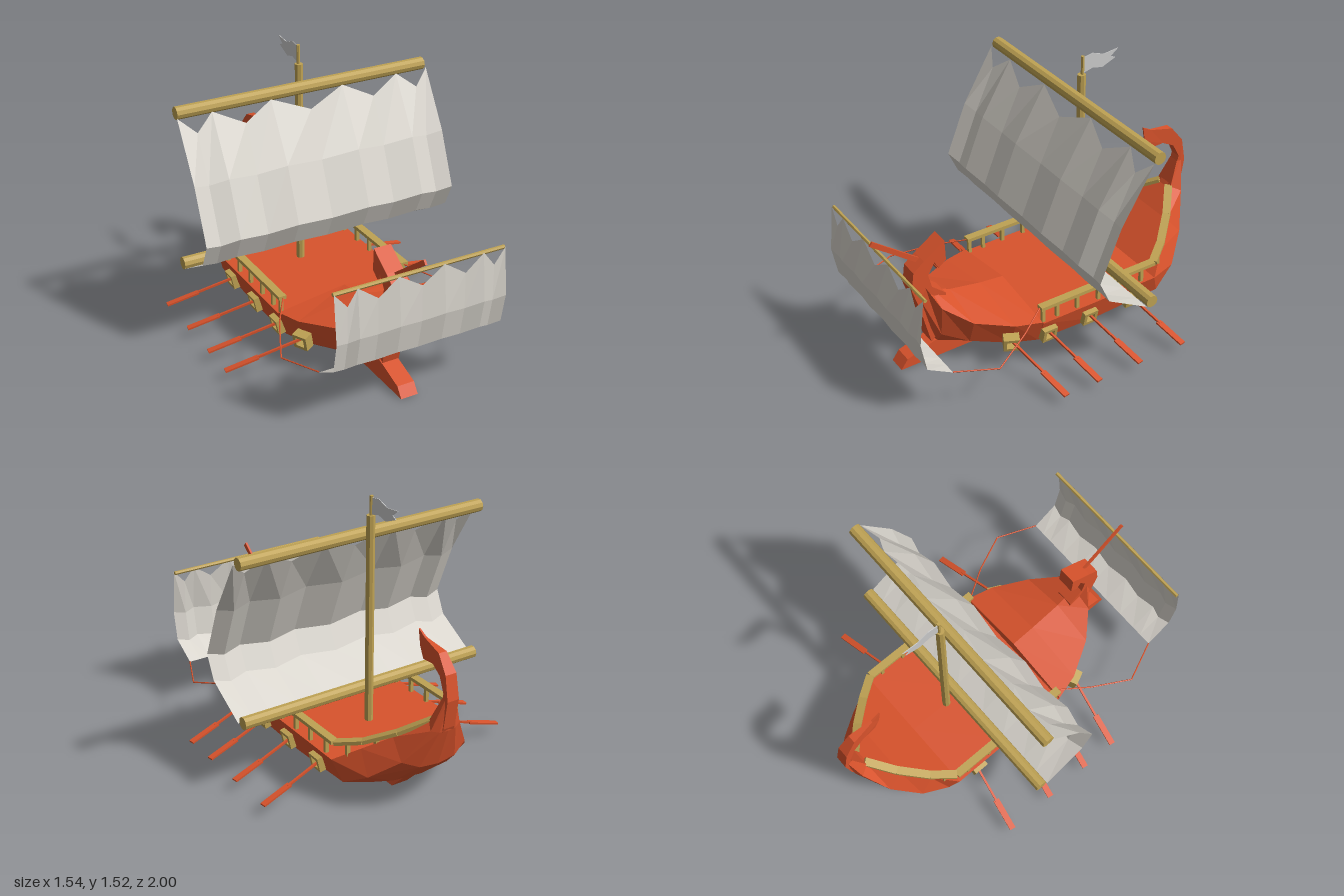
import * as THREE from 'three';

const mat = (color) => new THREE.MeshStandardMaterial({ color, flatShading: true, side: THREE.DoubleSide });
const V = (x, y, z) => new THREE.Vector3(x, y, z);

export function createModel() {
  const model = new THREE.Group();
  const red = mat(0xd9532c), wood = mat(0xbfa253), cloth = mat(0xd8d4cc), grey = mat(0xcccccc);

  const add = (name, geometry, material, parent = model) => {
    const m = new THREE.Mesh(geometry, material);
    m.name = name;
    parent.add(m);
    return m;
  };
  // Box beam from a to b
  const bar = (name, a, b, w, h, material, parent = model) => {
    const m = add(name, new THREE.BoxGeometry(w, h, a.distanceTo(b)), material, parent);
    m.position.copy(a).lerp(b, 0.5);
    m.lookAt(b);
  };
  // Round pole from a to b
  const pole = (name, a, b, r, sides, material, parent = model) => {
    const m = add(name, new THREE.CylinderGeometry(r, r, a.distanceTo(b), sides), material, parent);
    m.position.copy(a).lerp(b, 0.5);
    m.quaternion.setFromUnitVectors(V(0, 1, 0), b.clone().sub(a).normalize());
  };
  // Side outline of [z, y] points, extruded across the ship
  const sideExtrude = (points, width) => {
    const shape = new THREE.Shape(points.map(([z, y]) => new THREE.Vector2(z, y)));
    return new THREE.ExtrudeGeometry(shape, { depth: width, bevelEnabled: false })
      .rotateY(-Math.PI / 2).translate(width / 2, 0, 0);
  };
  // Surface through rows of points
  const loft = (rows) => {
    const n = rows[0].length, index = [];
    for (let r = 0; r < rows.length - 1; r++) {
      for (let c = 0; c < n - 1; c++) {
        const a = r * n + c, b = a + n;
        index.push(a, b, a + 1, b, b + 1, a + 1);
      }
    }
    const g = new THREE.BufferGeometry().setFromPoints(rows.flat());
    g.setIndex(index);
    const flat = g.toNonIndexed();
    flat.computeVertexNormals();
    return flat;
  };

  // Hull stations, stern to bow: rim x, y, z; wale x; keel y, z; height of deck centre above rim
  const stations = [
    [0.03, 0.68, -0.95, 0.03, 0.7, -0.995, 0],
    [0.06, 0.54, -0.89, 0.09, 0.5, -0.97, 0],
    [0.19, 0.43, -0.77, 0.2, 0.28, -0.9, 0],
    [0.3, 0.34, -0.65, 0.31, 0.15, -0.76, 0],
    [0.4, 0.25, -0.53, 0.36, 0.07, -0.6, 0],
    [0.4, 0.25, -0.15, 0.36, 0.04, -0.15, 0],
    [0.4, 0.25, 0.21, 0.35, 0.04, 0.21, 0],
    [0.4, 0.26, 0.215, 0.35, 0.04, 0.215, 0.06],
    [0.36, 0.27, 0.36, 0.3, 0.05, 0.36, 0.065],
    [0.25, 0.3, 0.55, 0.2, 0.08, 0.55, 0.07],
    [0.13, 0.37, 0.67, 0.11, 0.1, 0.67, 0.06],
    [0.05, 0.48, 0.72, 0.05, 0.36, 0.76, 0],
  ];
  add('hull', loft(stations.map(([rx, ry, rz, wx, ky, kz, crown]) => {
    const rim = V(rx, ry, rz), keel = V(0, ky, kz), deck = V(0, ry + crown, rz);
    const wale = rim.clone().lerp(keel, 0.68).setX(wx);
    const bilge = rim.clone().lerp(keel, 0.94).setX(wx * 0.55);
    const side = [rim, wale, bilge];
    const mirrored = side.map((p) => V(-p.x, p.y, p.z)).reverse();
    return [deck, ...side, keel, ...mirrored, deck];
  })), red);

  // Keel with ram, and the hooked stem
  add('keel', sideExtrude([[-0.58, 0], [0.89, 0], [0.85, 0.055], [0.68, 0.11], [-0.69, 0.11]], 0.1), red);
  add('stem', sideExtrude([[0.7, 0.11], [0.76, 0.36], [0.8, 0.49], [0.785, 0.6], [0.72, 0.65], [0.595, 0.735],
    [0.59, 0.61], [0.635, 0.575], [0.66, 0.62], [0.7, 0.55], [0.68, 0.47], [0.6, 0.4], [0.6, 0.2]], 0.1), red);

  // Stern plume, thinning toward its tip
  const plume = sideExtrude([[-0.9, 0.34], [-0.975, 0.52], [-1, 0.68], [-0.975, 0.815], [-0.905, 0.905], [-0.77, 0.93],
    [-0.715, 0.96], [-0.73, 0.87], [-0.76, 0.81], [-0.85, 0.825], [-0.92, 0.79], [-0.96, 0.71], [-0.94, 0.62], [-0.88, 0.53]], 0.07);
  const pp = plume.attributes.position;
  for (let i = 0; i < pp.count; i++) {
    const t = THREE.MathUtils.clamp((-0.72 - pp.getZ(i)) / 0.27, 0.12, 1);
    if (pp.getY(i) > 0.6) pp.setX(i, pp.getX(i) * t);
  }
  add('sternPlume', plume, red);

  // Masts, yards and flag
  pole('mast', V(0, 0.2, -0.29), V(0, 1.42, -0.29), 0.023, 8, wood);
  pole('mastTop', V(0, 1.42, -0.295), V(0, 1.525, -0.295), 0.01, 6, wood);
  for (const y of [1.305, 0.43]) pole('yard', V(-0.745, y, -0.238), V(0.745, y, -0.238), 0.035, 10, wood);
  pole('frontYard', V(-0.49, 0.775, 0.955), V(0.49, 0.775, 0.955), 0.011, 6, wood);
  bar('bowsprit', V(0, 0.62, 0.71), V(0, 0.835, 0.99), 0.012, 0.028, red);
  add('flag', sideExtrude([[-0.3, 1.515], [-0.36, 1.525], [-0.43, 1.5], [-0.52, 1.51], [-0.475, 1.475],
    [-0.505, 1.46], [-0.42, 1.425], [-0.36, 1.44], [-0.3, 1.425]], 0.004), grey);

  // Billowing sails: every second column dips at the scalloped top and ripples below
  const sail = (name, halfXs, profile, dip, ripple) => {
    const xs = [...halfXs.slice(1).reverse().map((x) => -x), ...halfXs];
    const rows = profile.map(([z, y], r) => xs.map((x, i) => {
      const low = i % 2;
      if (r === 0) {
        const [z1, y1] = profile[1], t = low * dip;
        return V(x, y + (y1 - y) * t, z + (z1 - z) * t);
      }
      return r === profile.length - 1 ? V(x, y, z) : V(x, y - low * ripple, z - low * ripple);
    }));
    add(name, loft(rows), cloth);
  };
  sail('mainSail', [0, 0.215, 0.385, 0.555, 0.66, 0.75],
    [[-0.2, 1.29], [-0.015, 0.98], [0.105, 0.685], [0.045, 0.555], [-0.2, 0.415]], 0.26, 0.02);
  sail('frontSail', [0, 0.13, 0.25, 0.36, 0.42, 0.49],
    [[0.967, 0.78], [0.995, 0.515], [0.965, 0.35], [0.82, 0.265]], 0.3, 0.015);

  // Rails, ropes, ports and oars on both sides
  for (const s of [1, -1]) {
    const side = new THREE.Group();
    side.name = s > 0 ? 'leftSide' : 'rightSide';
    model.add(side);
    const S = (x, y, z) => V(s * x, y, z);

    const rail = [S(0.378, 0.345, 0.22), S(0.378, 0.345, -0.53), S(0.29, 0.38, -0.65), S(0.17, 0.455, -0.78), S(0.04, 0.54, -0.89)];
    for (let i = 0; i < rail.length - 1; i++) bar('rail', rail[i], rail[i + 1], 0.045, 0.02, wood, side);
    for (const z of [0.2, 0.11, -0.02, -0.16, -0.3, -0.45]) {
      bar('railPost', S(0.378, 0.24, z), S(0.378, 0.345, z), 0.02, 0.02, wood, side);
    }
    bar('railPost', S(0.34, 0.28, -0.59), S(0.34, 0.36, -0.59), 0.02, 0.02, wood, side);
    bar('railPost', S(0.24, 0.36, -0.7), S(0.24, 0.41, -0.7), 0.02, 0.02, wood, side);

    const rope = [S(0.37, 0.345, 0.21), S(0.48, 0.31, 0.38), S(0.585, 0.255, 0.6), S(0.49, 0.268, 0.82)];
    for (let i = 0; i < rope.length - 1; i++) pole('rope', rope[i], rope[i + 1], 0.004, 5, red, side);

    for (const [z, x, yaw] of [[0.38, 0.345, 0.45], [0.17, 0.38, 0], [-0.095, 0.38, 0], [-0.38, 0.38, 0]]) {
      const port = new THREE.Group();
      port.name = 'oarPort';
      port.position.copy(S(x, 0.165, z));
      port.rotation.set(0, -s * yaw, -s * 0.22, 'YXZ');
      for (const k of [-1, 1]) {
        add('portSill', new THREE.BoxGeometry(0.055, 0.018, 0.085), wood, port).position.y = k * 0.034;
        add('portJamb', new THREE.BoxGeometry(0.055, 0.085, 0.018), wood, port).position.z = k * 0.034;
      }
      side.add(port);
      bar('oarShaft', S(0.34, 0.175, z), S(0.6, 0.107, z - 0.045), 0.012, 0.012, red, side);
      bar('oarBlade', S(0.585, 0.11, z - 0.042), S(0.765, 0.065, z - 0.072), 0.034, 0.01, red, side);
    }
  }
  return model;
}
